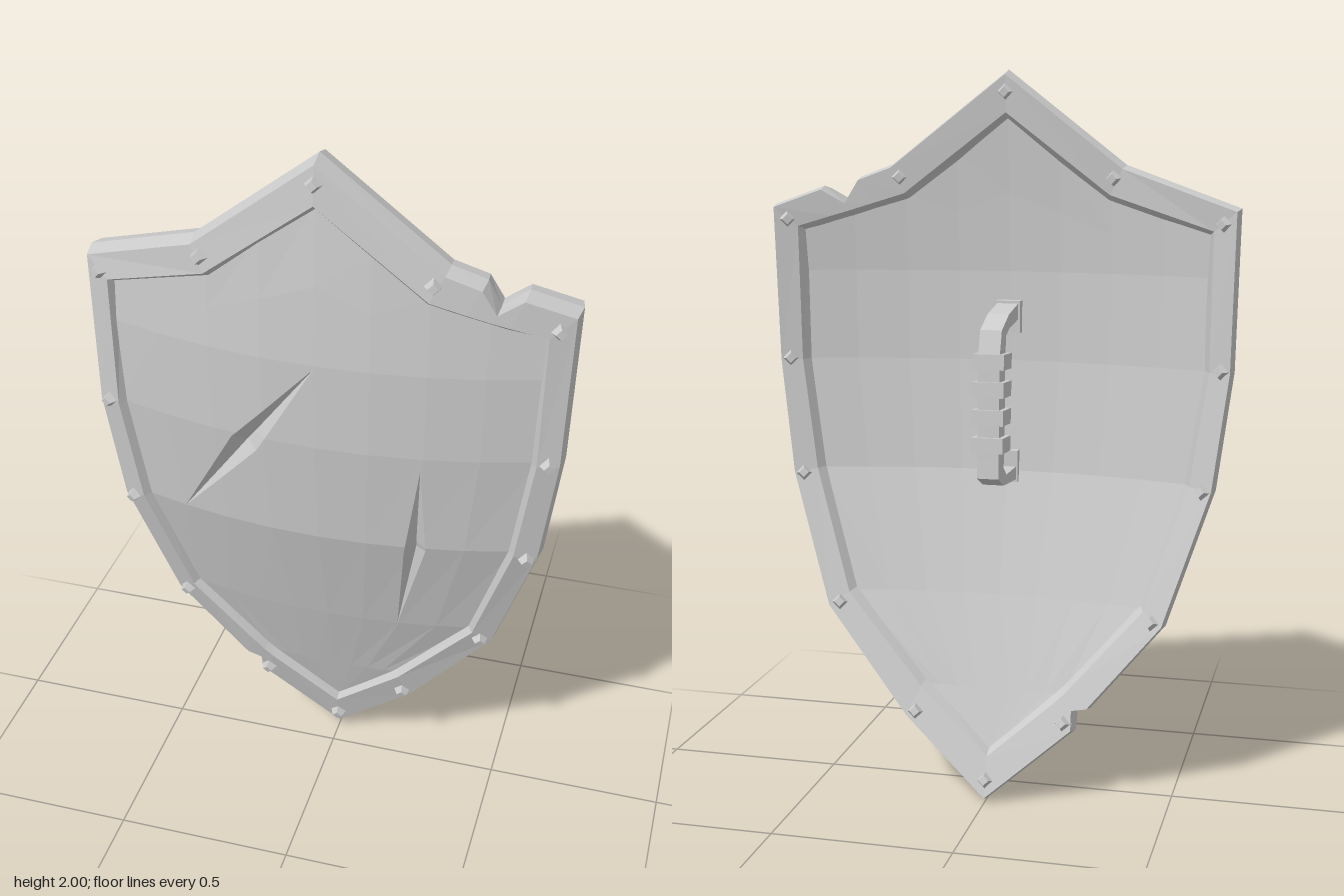
import * as THREE from 'three';

const material = new THREE.MeshStandardMaterial({ color: 0xcccccc, flatShading: true });

// Piecewise linear lookup through [key, value] pairs
function lerpTable(table, k) {
  let i = 0;
  while (i < table.length - 2 && k > table[i + 1][0]) i++;
  const [a, va] = table[i], [b, vb] = table[i + 1];
  return va + (vb - va) * THREE.MathUtils.clamp((k - a) / (b - a), 0, 1);
}

// Curved mid-surface of the shield
const spine = [[0, -0.13], [0.3, -0.04], [0.55, 0.035], [0.9, 0.13], [1.2, 0.16], [1.45, 0.165], [1.7, 0.15], [2, 0.12]];
const surfaceZ = (x, y) => lerpTable(spine, y) - 0.28 * x * x;

// Faceted mesh from a list of convex polygons
function polyMesh(name, polys) {
  const pos = [];
  const ab = new THREE.Vector3(), ac = new THREE.Vector3();
  for (const p of polys) {
    for (let i = 1; i < p.length - 1; i++) {
      ab.subVectors(p[i], p[0]);
      ac.subVectors(p[i + 1], p[0]);
      if (ab.cross(ac).length() < 1e-8) continue;
      for (const v of [p[0], p[i], p[i + 1]]) pos.push(v.x, v.y, v.z);
    }
  }
  const g = new THREE.BufferGeometry();
  g.setAttribute('position', new THREE.Float32BufferAttribute(pos, 3));
  g.computeVertexNormals();
  return named(name, g);
}

function named(name, geometry) {
  const mesh = new THREE.Mesh(geometry, material);
  mesh.name = name;
  return mesh;
}

// Signed side of point p against the line a-b (positive = left), in x and y
const side = (a, b, p) => (b[0] - a[0]) * (p.y - a[1]) - (b[1] - a[1]) * (p.x - a[0]);

// Keep the part of a polygon on one side of the line a-b
function clip(poly, a, b, sign) {
  const out = [];
  poly.forEach((p, i) => {
    const q = poly[(i + 1) % poly.length];
    const dp = side(a, b, p) * sign, dq = side(a, b, q) * sign;
    if (dp >= 0) out.push(p);
    if (dp * dq < 0) out.push(p.clone().lerp(q, dp / (dp - dq)));
  });
  return out;
}

// Cut a diamond out of the polygons and replace it by a V-shaped groove
function carve(polys, corners, center, depth) {
  const out = [];
  for (const poly of polys) {
    let rest = poly;
    corners.forEach((a, i) => {
      const b = corners[(i + 1) % 4];
      const outside = clip(rest, a, b, -1);
      if (outside.length > 2) out.push(outside);
      rest = clip(rest, a, b, 1);
    });
    if (rest.length < 3) continue;
    corners.forEach((a, i) => {
      const b = corners[(i + 1) % 4];
      const part = clip(clip(rest, b, center, 1), center, a, 1);
      if (part.length < 3) return;
      const full = side(a, b, { x: center[0], y: center[1] });
      out.push(part.map((p) => new THREE.Vector3(p.x, p.y, p.z - depth * side(a, b, p) / full)));
    });
  }
  return out;
}

// Panel grid: rows follow the outline, the last rows follow the peaked top
function panelPolys(offset) {
  const cols = 8;
  const rows = [[0.125, 0], [0.3, 0.2], [0.55, 0.42], [0.89, 0.53], [1.2, 0.575], [1.45, 0.58]];
  const topEdge = [[0, 1.885], [0.29, 1.665], [0.58, 1.575]];
  const grid = [];
  for (let r = 0; r < rows.length + 2; r++) {
    const [y0, w] = rows[Math.min(r, rows.length - 1)];
    const rise = Math.max(0, r - rows.length + 1) / 2;
    grid.push(Array.from({ length: cols + 1 }, (_, c) => {
      const x = (c / cols * 2 - 1) * w;
      const y = y0 + (lerpTable(topEdge, Math.abs(x)) - y0) * rise;
      return new THREE.Vector3(x, y, surfaceZ(x, y) + offset);
    }));
  }
  const polys = [];
  for (let r = 0; r < grid.length - 1; r++) {
    for (let c = 0; c < cols; c++) {
      const a = grid[r][c], b = grid[r][c + 1], d = grid[r + 1][c + 1], e = grid[r + 1][c];
      polys.push([a, b, d], [a, d, e]);
    }
  }
  return polys;
}

// Rim stations: outer x, y and inner x, y, clockwise from the peak, with two chips
const stations = [
  [0, 2, 0, 1.885], [0.33, 1.745, 0.29, 1.665],
  [0.42, 1.71, 0.38, 1.637], [0.455, 1.64, 0.44, 1.618], [0.52, 1.685, 0.49, 1.603],
  [0.65, 1.635, 0.58, 1.575], [0.64, 1.2, 0.575, 1.2], [0.6, 0.88, 0.53, 0.89],
  [0.48, 0.51, 0.42, 0.55], [0.24, 0.21, 0.2, 0.3], [0, 0, 0, 0.125],
  [-0.24, 0.205, -0.19, 0.29], [-0.235, 0.262, -0.215, 0.315], [-0.28, 0.268, -0.245, 0.35],
  [-0.48, 0.51, -0.42, 0.55], [-0.6, 0.88, -0.53, 0.89], [-0.64, 1.2, -0.575, 1.2],
  [-0.65, 1.635, -0.58, 1.575], [-0.33, 1.745, -0.29, 1.665],
];

function rimPolys() {
  // Cross-section: fraction outer to inner, extra inset, height off the surface
  const section = [[0, 0, 0], [0.12, 0, 0.05], [1, 0, 0.05], [1, 0.025, 0.01],
    [1, 0.025, -0.01], [1, 0, -0.05], [0.12, 0, -0.05]];
  const loops = stations.map(([ox, oy, ix, iy]) => {
    const len = Math.hypot(ix - ox, iy - oy);
    return section.map(([k, inset, h]) => {
      const f = k + inset / len;
      const x = ox + (ix - ox) * f, y = oy + (iy - oy) * f;
      return new THREE.Vector3(x, y, surfaceZ(x, y) + h);
    });
  });
  const polys = [];
  loops.forEach((p, i) => {
    const q = loops[(i + 1) % loops.length];
    p.forEach((v, j) => {
      const k = (j + 1) % p.length;
      polys.push([v, p[k], q[k]], [v, q[k], q[j]]);
    });
  });
  return polys;
}

// Four-sided studs on both faces of the rim
function createRivets() {
  const group = new THREE.Group();
  group.name = 'rivets';
  const geometry = new THREE.CylinderGeometry(0.014, 0.026, 0.028, 4).rotateX(Math.PI / 2);
  const half = [[0.3, 1.71], [0.605, 1.595], [0.605, 1.205], [0.565, 0.88], [0.443, 0.525], [0.21, 0.235]];
  const spots = [[0, 1.94], [0, 0.065]];
  for (const [x, y] of half) spots.push([x, y], [-x, y]);
  for (const [x, y] of spots) {
    const slope = (surfaceZ(x, y + 0.03) - surfaceZ(x, y - 0.03)) / 0.06;
    const normal = new THREE.Vector3(0.56 * x, -slope, 1).normalize();
    for (const s of [1, -1]) {
      const rivet = named(s > 0 ? 'frontRivet' : 'backRivet', geometry);
      rivet.position.set(x, y, surfaceZ(x, y) + s * 0.056);
      rivet.lookAt(rivet.position.clone().addScaledVector(normal, s));
      group.add(rivet);
    }
  }
  return group;
}

// Bent bracket with a ringed grip on the back
function createHandle() {
  const group = new THREE.Group();
  group.name = 'handle';
  const profile = [[0.15, 1.37], [0, 1.345], [-0.085, 1.31], [-0.11, 1.24], [-0.122, 0.96], [-0.125, 0.91],
    [-0.06, 0.88], [0.12, 0.865], [0.12, 0.905], [-0.03, 0.905], [-0.065, 0.93], [-0.055, 0.98],
    [-0.045, 1.24], [-0.035, 1.29], [0, 1.305], [0.15, 1.325]];
  const shape = new THREE.Shape(profile.map(([z, y]) => new THREE.Vector2(z, y)));
  const bar = new THREE.ExtrudeGeometry(shape, { depth: 0.06, bevelEnabled: false });
  group.add(named('handleBar', bar.translate(0, 0, -0.03).rotateY(-Math.PI / 2)));
  for (let i = 0; i < 4; i++) {
    const ring = named('gripRing', new THREE.BoxGeometry(0.088, 0.042, 0.092));
    ring.position.set(0, 1.225 - i * 0.075, -0.075 - i * 0.005);
    ring.rotation.x = 0.06;
    group.add(ring);
  }
  // Feet against the panel
  for (const [y, z] of [[1.325, 0.125], [0.905, 0.1]]) {
    const foot = named('handleFoot', new THREE.BoxGeometry(0.07, 0.09, 0.035));
    foot.position.set(0, y, z);
    group.add(foot);
  }
  return group;
}

export function createModel() {
  const model = new THREE.Group();
  model.name = 'shield';
  let front = panelPolys(0.025);
  front = carve(front, [[0, 1.44], [-0.235, 1.185], [-0.4, 0.89], [-0.165, 1.155]], [-0.2, 1.165], 0.035);
  front = carve(front, [[0.28, 1.16], [0.235, 0.86], [0.205, 0.55], [0.295, 0.88]], [0.262, 0.87], 0.035);
  model.add(polyMesh('frontPanel', front));
  model.add(polyMesh('backPanel', panelPolys(-0.025).map((p) => p.reverse())));
  model.add(polyMesh('rim', rimPolys()));
  model.add(createRivets(), createHandle());
  return model;
}
